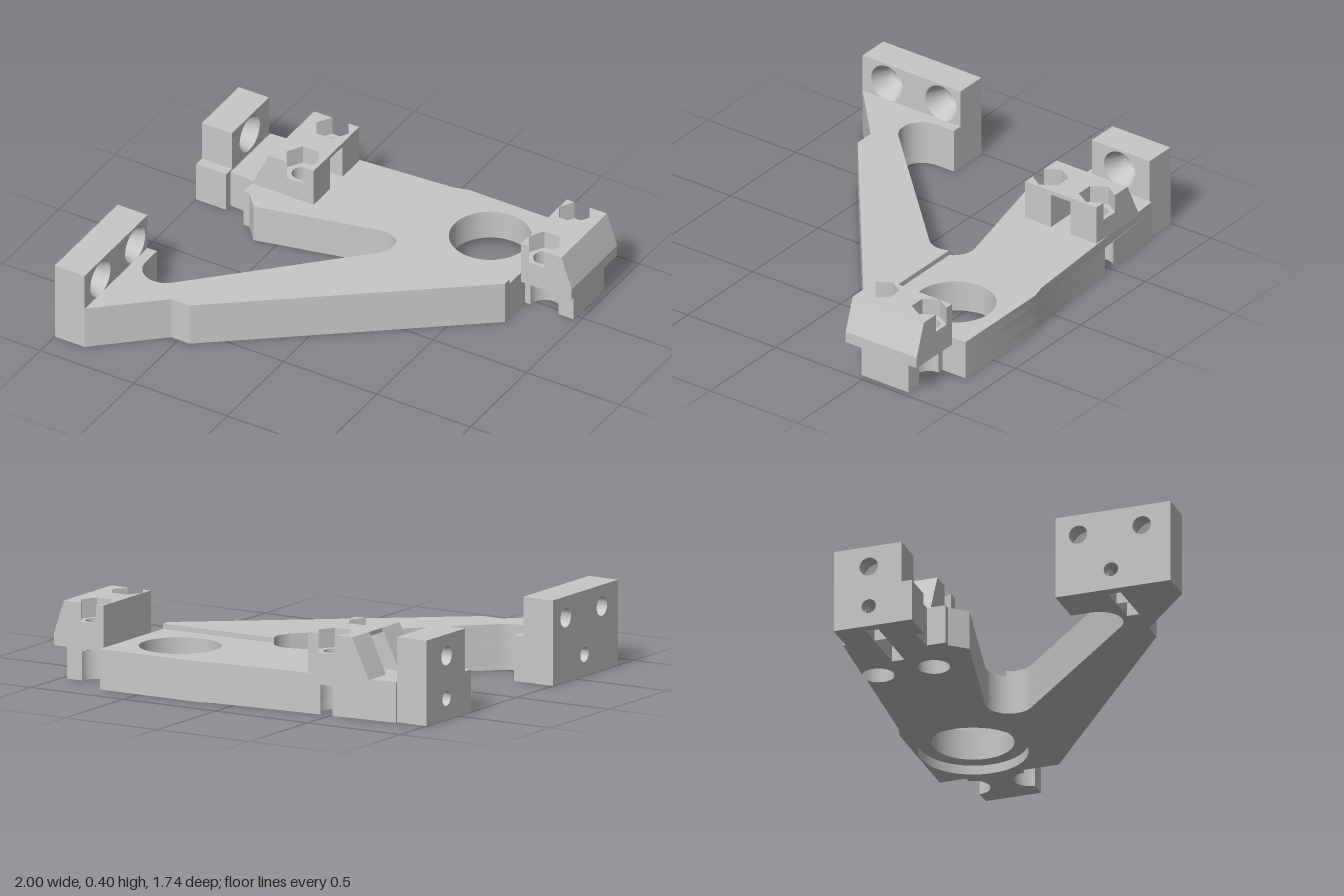
import * as THREE from 'three';
import { toCreasedNormals } from 'three/addons/utils/BufferGeometryUtils.js';

const V = (x, y) => new THREE.Vector2(x, y);

// Points along an arc (angles in radians, measured from +a towards +b)
function arc(a, b, r, start, end, n = 16) {
  return Array.from({ length: n + 1 }, (_, i) => {
    const t = start + (end - start) * i / n;
    return [a + r * Math.cos(t), b + r * Math.sin(t)];
  });
}
const circle = (a, b, r, n = 32) => arc(a, b, r, 0, Math.PI * 2 * (n - 1) / n, n - 1);
const rect = (a0, a1, b0, b1) => [[a0, b0], [a1, b0], [a1, b1], [a0, b1]];

export function createModel() {
  const group = new THREE.Group();
  const grey = new THREE.MeshStandardMaterial({ color: 0xc8c8c8 });
  grey.name = 'grey plastic';

  function add(name, geometry, move) {
    if (move) {
      const p = geometry.attributes.position, v = new THREE.Vector3();
      for (let i = 0; i < p.count; i++) {
        move(v.fromBufferAttribute(p, i));
        p.setXYZ(i, v.x, v.y, v.z);
      }
    }
    const mesh = new THREE.Mesh(toCreasedNormals(geometry, 0.3), grey);
    mesh.name = name;
    group.add(mesh);
  }
  function extrude(pts, holes, depth, map) {
    // A counter-clockwise outline makes the hole walls face the right way
    const outline = pts.map(map);
    if (THREE.ShapeUtils.isClockWise(outline)) outline.reverse();
    const shape = new THREE.Shape(outline);
    shape.holes = holes.map(h => new THREE.Path(h.map(map)));
    return new THREE.ExtrudeGeometry(shape, { depth, bevelEnabled: false });
  }
  // Horizontal slab from (x, z) points
  function slab(name, pts, y0, y1, holes = [], move) {
    const g = extrude(pts, holes, y1 - y0, ([x, z]) => V(x, -z));
    add(name, g.rotateX(-Math.PI / 2).translate(0, y0, 0), move);
  }
  // Upright plate from (z, y) points, thick along x
  function wall(name, pts, x0, x1, holes) {
    const g = extrude(pts, holes, x1 - x0, ([z, y]) => V(-z, y));
    add(name, g.rotateY(Math.PI / 2).translate(x0, 0, 0));
  }
  // Profile from (x, y) points, thick along z
  function rib(name, pts, z0, z1) {
    add(name, extrude(pts, [], z1 - z0, ([x, y]) => V(x, y)).translate(0, 0, z0));
  }

  // Plate outline pieces
  const ARM = 0.215, HUB = 0.19, split = -0.472;
  const backStart = [[-0.84, -0.43], [-0.84, -0.782]];
  const backEnd = [[0.1, -0.85], [0.17, -0.87], [0.71, -0.87], [0.71, -0.33]];
  const screwNotch = arc(-0.48, -0.74, 0.075, -2.01, -7.41, 28);
  const armOuter = [[0.71, -0.29], [-0.44, 0.6], [-0.54, 0.6], [-0.84, 0.87],
    [-0.84, 0.31], [-0.79, 0.31], ...arc(-0.68, 0.41, 0.11, Math.PI, Math.PI / 4)];
  const armInner = arc(0.01, -0.28, 0.11, Math.PI / 4, split, 10);
  const hubFront = [...arc(0.01, -0.28, 0.11, split, -1.8, 10),
    [-0.61, -0.25], [-0.68, -0.33], [-0.71, -0.33], [-0.71, -0.42]];
  const lower = [...backStart, ...screwNotch, ...backEnd, ...armOuter, ...armInner, ...hubFront.slice(1)];
  const lowerHoles = [circle(-0.48, -0.47, 0.075),
    rect(-0.835, -0.6, -0.63, -0.57), rect(-0.835, -0.7, 0.55, 0.61)];

  // Plate: recessed underside, middle, then arm and slightly lower hub on top
  slab('plateBottom', lower, 0, 0.045, [...lowerHoles, circle(0.44, -0.61, 0.255, 48)]);
  slab('plateMiddle', lower, 0.045, 0.14, [...lowerHoles, circle(0.44, -0.61, 0.19, 48)]);
  slab('armTop', [[0.71, -0.33], ...armOuter, ...armInner], 0.14, ARM);
  slab('hubTop', [...backStart, ...backEnd, ...hubFront], 0.14, HUB,
    [circle(0.44, -0.61, 0.19, 48), circle(-0.48, -0.74, 0.05), circle(-0.48, -0.47, 0.05),
      rect(-0.66, -0.62, -0.64, -0.57)]);

  // Mounting blocks with countersunk upper holes and a lower screw channel
  function mount(name, outline, low, uppers) {
    const [z0, z1] = [outline[0][0], outline[1][0]];
    wall(name + 'Face', outline, -1, -0.95,
      [...uppers.map(z => circle(z, 0.3, 0.045)), circle(low, 0.1, 0.035)]);
    const notched = [[z0, 0], [low - 0.03, 0], [low - 0.03, 0.14], [low + 0.03, 0.14],
      [low + 0.03, 0], [z1, 0], ...outline.slice(2)];
    wall(name + 'Body', notched, -0.95, -0.84, uppers.map(z => circle(z, 0.3, 0.09)));
    for (const z of uppers) {
      // Inward-facing countersink
      const cone = new THREE.LatheGeometry([V(0.09, 0.11), V(0.045, 0)], 32);
      add(name + 'Countersink', cone.rotateZ(-Math.PI / 2).translate(-0.95, 0.3, z));
    }
  }
  mount('frontMount', rect(0.31, 0.87, 0, 0.4), 0.58, [0.42, 0.73]);
  mount('backMount', [[-0.77, 0], [-0.39, 0], [-0.39, 0.2], [-0.44, 0.2], [-0.44, 0.4], [-0.77, 0.4]],
    -0.6, [-0.6]);

  // Clamp halves: round screw hole below, hexagonal pocket open to the outside above
  const halves = [[-0.74, -0.808, -0.66], [-0.47, -0.402, -0.55]];
  function clampHalves(name, x0, x1, xc, r, levels, slope) {
    for (const [zc, outer, inner] of halves) {
      const flat = zc + Math.sign(inner - zc) * r * 0.866;
      const pocketed = [[x0, inner], [x0, outer], [xc - r / 2, outer], [xc - r, zc],
        [xc - r / 2, flat], [xc + r / 2, flat], [xc + r, zc], [xc + r / 2, outer],
        [x1, outer], [x1, inner]];
      for (let i = 0; i < levels.length - 1; i++) {
        const last = i === levels.length - 2;
        slab(name, last ? pocketed : rect(x0, x1, outer, inner), levels[i], levels[i + 1],
          last ? [] : [circle(xc, zc, 0.05)], slope);
      }
    }
  }
  clampHalves('innerClamp', -0.71, -0.38, -0.48, 0.086, [HUB, 0.29, 0.38],
    v => { if (v.x < -0.7) v.x = -0.71 + 0.09 * (v.y - HUB) / 0.19; });
  rib('innerClampBridge', rect(-0.62, -0.38, 0.36, 0.38), -0.66, -0.55);

  clampHalves('outerClamp', 0.73, 1, 0.812, 0.081, [0.165, 0.22, 0.29, 0.38],
    v => { if (v.x > 0.99) v.x = 1 - 0.055 * Math.max(0, v.y - 0.22) / 0.16; });
  rib('outerClampCentre', [[0.73, 0.165], [1, 0.165], [1, 0.22], [0.945, 0.38], [0.73, 0.38]], -0.66, -0.55);

  // Narrow foot under the outer clamp, its sides hollowed by the screw recesses
  const foot = r => [[0.71, -0.74], ...arc(0.815, -0.74, r, Math.PI, 0),
    [0.97, -0.74], [0.97, -0.47], ...arc(0.815, -0.47, r, 0, -Math.PI), [0.71, -0.47]];
  slab('outerFoot', foot(0.075), 0, 0.14);
  slab('outerFootTop', foot(0.05), 0.14, 0.165);
  return group;
}
